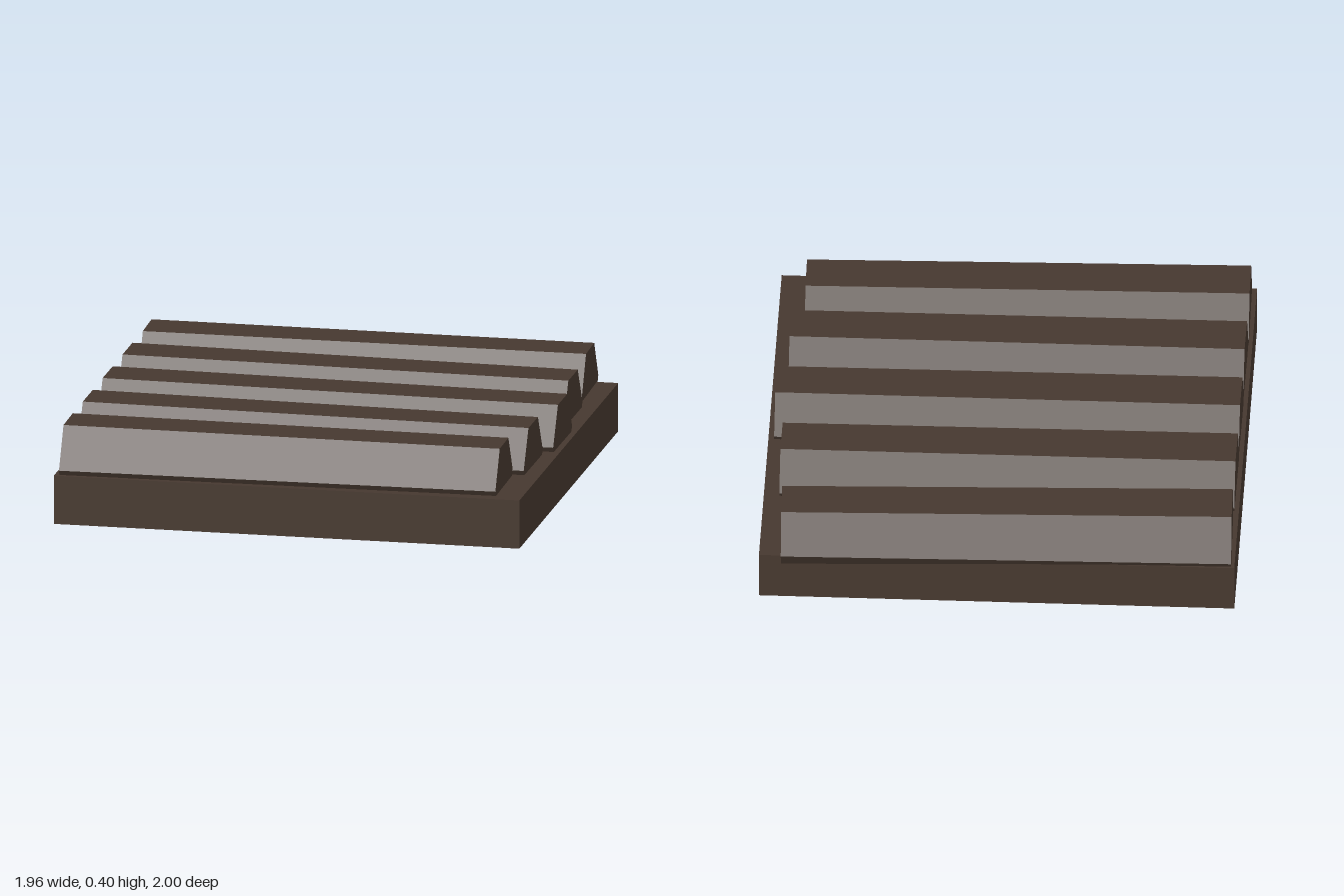
import * as THREE from 'three';

export function createModel() {
  const model = new THREE.Group();
  model.name = 'ridgedSlab';
  const darkBrown = new THREE.MeshStandardMaterial({ color: 0x46382f });
  darkBrown.name = 'dark brown';
  darkBrown.flatShading = true;

  // Square base slab
  const base = new THREE.Mesh(new THREE.BoxGeometry(1.96, 0.205, 1.965), darkBrown);
  base.name = 'baseSlab';
  base.position.set(0, 0.1025, 0.0175);
  model.add(base);

  // Tapered six-sided logs half sunk into the slab: [z at left end, z at right end, right end x]
  const startX = -0.962;
  const logs = [
    [-0.771, -0.817, 0.893],
    [-0.38, -0.374, 0.915],
    [0.014, 0.022, 0.955],
    [0.408, 0.418, 0.915],
    [0.799, 0.775, 0.868],
  ];
  logs.forEach(([z0, z1, endX], i) => {
    const length = Math.hypot(endX - startX, z1 - z0);
    const geometry = new THREE.CylinderGeometry(0.184, 0.196, length, 6);
    geometry.rotateZ(-Math.PI / 2);
    const log = new THREE.Mesh(geometry, darkBrown);
    log.name = `log${i + 1}`;
    log.position.set((startX + endX) / 2, 0.226, (z0 + z1) / 2);
    log.rotation.y = -Math.atan2(z1 - z0, endX - startX);
    model.add(log);
  });

  return model;
}
